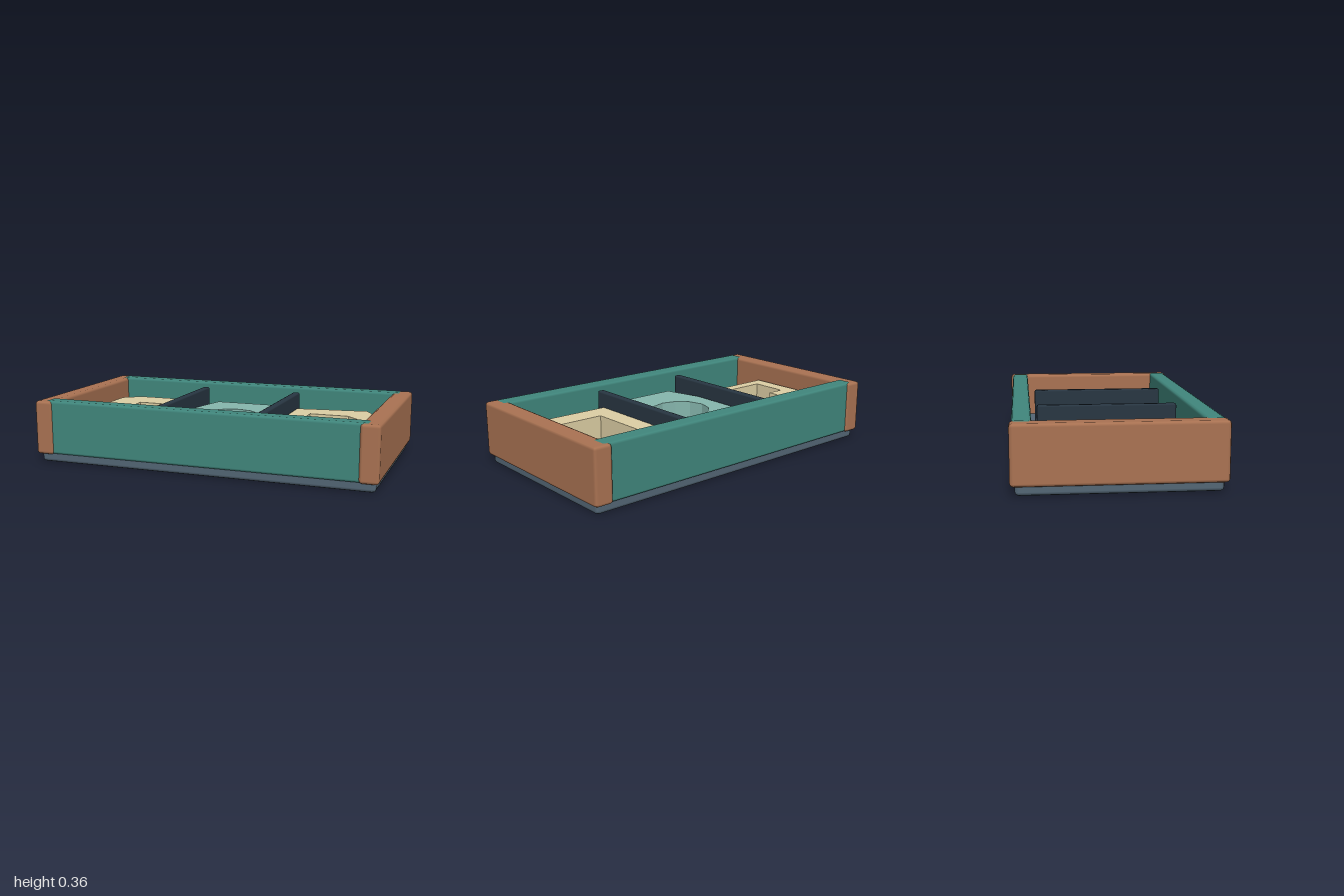
import * as THREE from 'three';
import { RoundedBoxGeometry } from 'three/addons/geometries/RoundedBoxGeometry.js';

const paint = (name, color) => {
  const m = new THREE.MeshStandardMaterial({ color });
  m.name = name;
  return m;
};

export function createModel() {
  const model = new THREE.Group();
  model.name = 'sortingTray';
  const brown = paint('brown wood', 0xa97252);
  const teal = paint('teal', 0x40867c);
  const slate = paint('slate', 0x536675);
  const dark = paint('dark slate', 0x283642);
  const sand = paint('sand', 0xdccea4);
  const mint = paint('pale teal', 0x86b6ad);

  // Bevelled box given by its minimum and maximum corners
  function block(name, material, min, max, radius) {
    const size = max.map((v, i) => v - min[i]);
    const mesh = new THREE.Mesh(new RoundedBoxGeometry(...size, 1, radius), material);
    mesh.position.set(...max.map((v, i) => (v + min[i]) / 2));
    mesh.name = name;
    model.add(mesh);
  }

  // Flat insert with a cut-out; outlines are [x, z] pairs, reversed to wind counter-clockwise
  function insert(name, material, outline, hole) {
    const points = (list) => list.map(([x, z]) => new THREE.Vector2(x, -z)).reverse();
    const shape = new THREE.Shape(points(outline));
    shape.holes.push(new THREE.Path(points(hole)));
    const geometry = new THREE.ExtrudeGeometry(shape, { depth: 0.16, bevelEnabled: false });
    geometry.rotateX(-Math.PI / 2);
    const mesh = new THREE.Mesh(geometry, material);
    mesh.position.y = 0.09;
    mesh.name = name;
    model.add(mesh);
  }

  // Base
  block('base', slate, [-0.98, 0, -0.518], [0.98, 0.092, 0.518], 0.02);

  // End walls, long walls and dividers, mirrored
  for (const s of [-1, 1]) {
    const side = s > 0 ? 'left' : 'right';
    const face = s > 0 ? 'front' : 'back';
    block(side + 'EndWall', brown, [s * 0.946 - 0.054, 0.048, -0.542], [s * 0.946 + 0.054, 0.361, 0.542], 0.018);
    block(face + 'Wall', teal, [-0.94, 0.05, s * 0.48 - 0.05], [0.94, 0.364, s * 0.48 + 0.05], 0.016);
    block(side + 'Divider', dark, [s * 0.303 - 0.022, 0.07, -0.393], [s * 0.303 + 0.022, 0.34, 0.393], 0.01);
  }

  // Insert with a stepped cut-out
  insert('rightInsert', sand,
    [[-0.87, -0.305], [-0.77, -0.38], [-0.44, -0.38], [-0.33, -0.295], [-0.33, 0.2], [-0.87, 0.2]],
    [[-0.785, -0.083], [-0.68, -0.083], [-0.68, -0.18], [-0.53, -0.18], [-0.53, -0.083], [-0.423, -0.083],
      [-0.423, 0.132], [-0.785, 0.132]]);

  // Insert with a twelve-sided cut-out
  const ring = Array.from({ length: 12 }, (_, i) => {
    const a = (i / 12) * Math.PI * 2;
    return [0.171 * Math.cos(a), 0.171 * Math.sin(a)];
  });
  insert('middleInsert', mint,
    [[-0.215, -0.378], [0.215, -0.378], [0.272, -0.15], [0.272, 0.15], [0.215, 0.375], [-0.215, 0.375],
      [-0.272, 0.15], [-0.272, -0.15]], ring);

  // Insert with a clipped square cut-out
  insert('leftInsert', sand,
    [[0.33, -0.32], [0.755, -0.38], [0.87, -0.18], [0.87, 0.333], [0.33, 0.327]],
    [[0.447, -0.185], [0.68, -0.185], [0.76, -0.1], [0.76, 0.193], [0.447, 0.193]]);

  return model;
}
